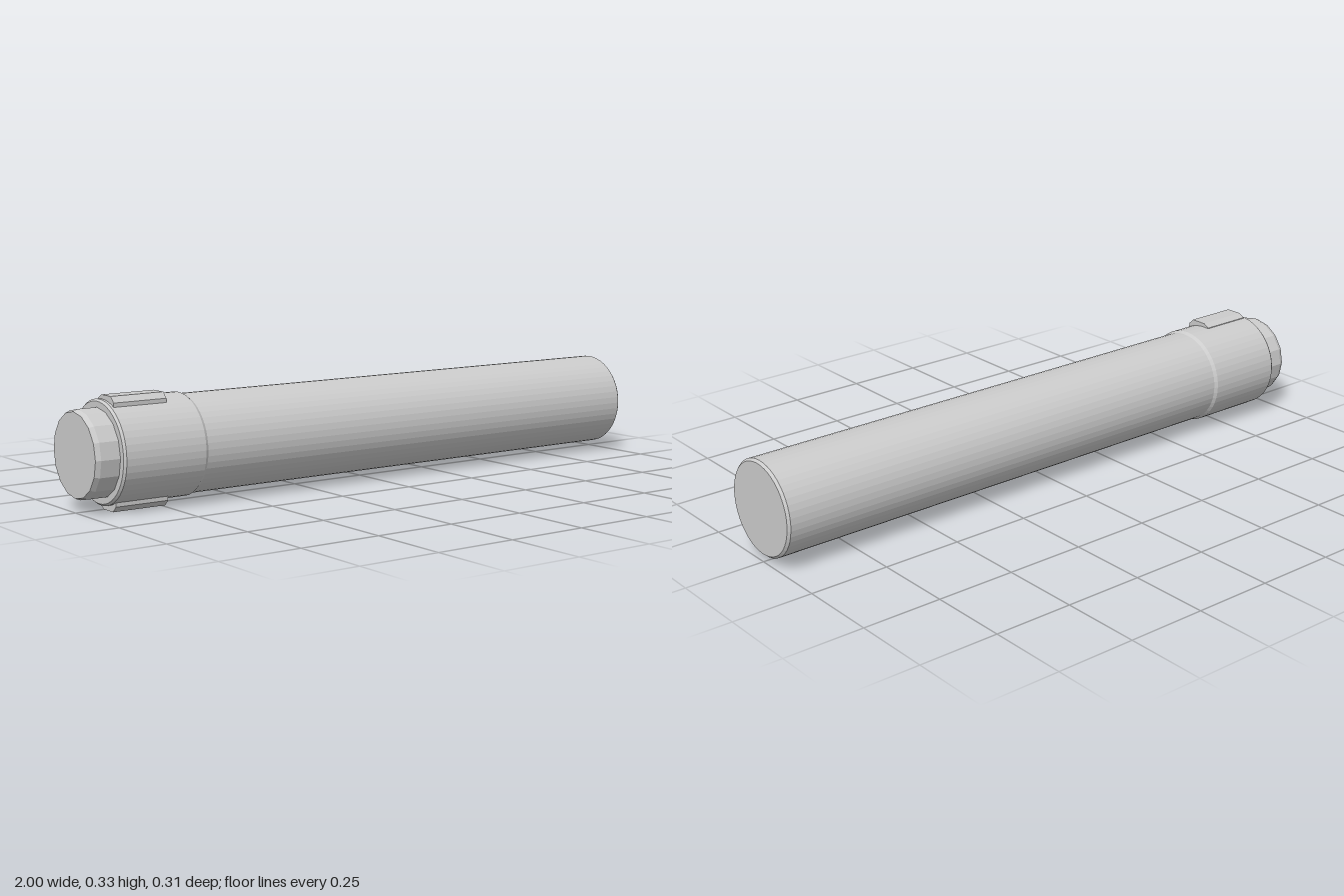
import * as THREE from 'three';

const AXIS_Y = 0.165;
const material = new THREE.MeshStandardMaterial({ color: 0xcccccc, flatShading: true });

// Turned part lying along x; profile is [x, radius] from -x to +x
function turned(name, profile, sides) {
  const points = profile.map(([x, r]) => new THREE.Vector2(r, x));
  const mesh = new THREE.Mesh(new THREE.LatheGeometry(points, sides), material);
  mesh.name = name;
  mesh.rotation.z = -Math.PI / 2;
  mesh.position.y = AXIS_Y;
  return mesh;
}

// Bevelled lug on the collar; side is +1 for the top and -1 for the bottom
function lug(name, side) {
  const section = [
    [0.07, 0.12], [0.07, 0.148], [0.053, 0.165],
    [0, 0.165], [-0.019, 0.154], [-0.019, 0.12],
  ];
  const shape = new THREE.Shape(section.map(([z, y]) => new THREE.Vector2(-z, side * y)));
  const geometry = new THREE.ExtrudeGeometry(shape, { depth: 0.17, bevelEnabled: false });
  geometry.rotateY(Math.PI / 2);
  const mesh = new THREE.Mesh(geometry, material);
  mesh.name = name;
  mesh.position.set(-0.91, AXIS_Y, 0);
  return mesh;
}

export function createModel() {
  const model = new THREE.Group();
  model.name = 'cylindricalHandle';

  // Long barrel with a small chamfer at the free end
  model.add(turned('barrel', [[-0.7, 0], [-0.7, 0.147], [0.992, 0.147], [1, 0.14], [1, 0]], 48));

  // Wider collar, tapering into the barrel
  model.add(turned('collar', [
    [-0.925, 0], [-0.925, 0.147], [-0.918, 0.153], [-0.66, 0.153], [-0.648, 0.146],
  ], 48));

  // Narrow faceted end plug
  model.add(turned('endPlug', [[-1, 0], [-1, 0.124], [-0.985, 0.13], [-0.92, 0.13]], 16));

  model.add(lug('topLug', 1), lug('bottomLug', -1));
  return model;
}
